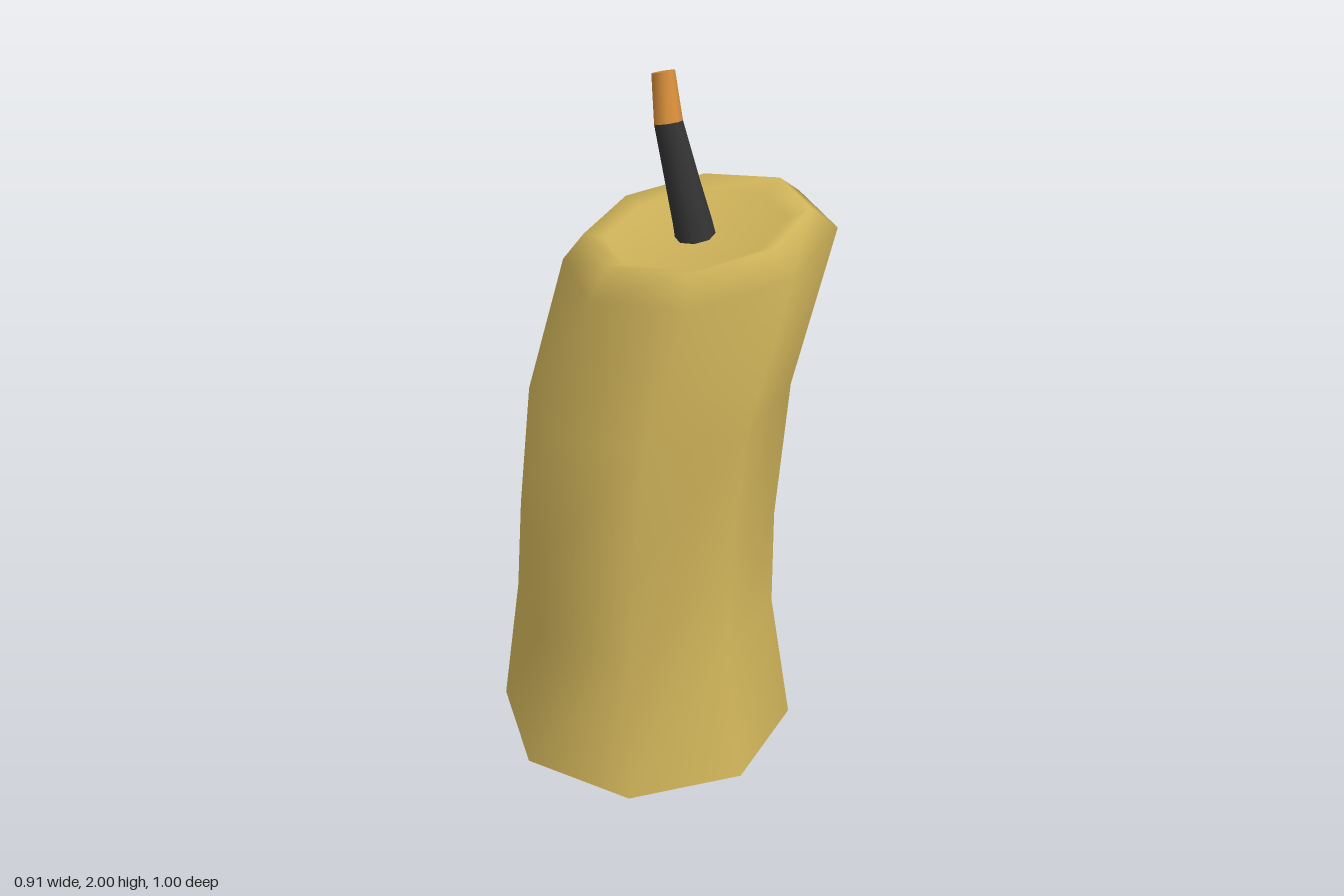
import * as THREE from 'three';

const SIDES = 8;

// Skin octagonal rings [x, y, z, radius, slopeX, slopeZ]; apex closes the top if given.
function loft(rings, apex) {
  const pos = [], idx = [];
  for (const [x, y, z, r, sx = 0, sz = 0] of rings) {
    for (let j = 0; j < SIDES; j++) {
      const a = (j / SIDES) * Math.PI * 2;
      const dx = r * Math.sin(a), dz = r * Math.cos(a);
      pos.push(x + dx, y + sx * dx + sz * dz, z + dz);
    }
  }
  const at = (i, j) => i * SIDES + (j % SIDES);
  for (let i = 0; i < rings.length - 1; i++) {
    for (let j = 0; j < SIDES; j++) {
      idx.push(at(i, j), at(i, j + 1), at(i + 1, j + 1));
      idx.push(at(i, j), at(i + 1, j + 1), at(i + 1, j));
    }
  }
  if (apex) {
    const top = pos.length / 3, last = rings.length - 1;
    pos.push(...apex);
    for (let j = 0; j < SIDES; j++) idx.push(at(last, j), at(last, j + 1), top);
  }
  const g = new THREE.BufferGeometry();
  g.setAttribute('position', new THREE.Float32BufferAttribute(pos, 3));
  g.setIndex(idx);
  g.computeVertexNormals();
  return g;
}

export function createModel() {
  const group = new THREE.Group();
  group.name = 'candle';
  const material = (name, color) => {
    const m = new THREE.MeshStandardMaterial({ color });
    m.name = name;
    return m;
  };
  const wax = material('wax', 0xd0b45a);
  const char = material('charredWick', 0x333333);
  const ember = material('wickTip', 0xd48c3a);
  const add = (name, geometry, mat) => {
    const mesh = new THREE.Mesh(geometry, mat);
    mesh.name = name;
    group.add(mesh);
    return mesh;
  };

  // Leaning wax body with a bevelled rim and a shallow dip
  add('waxBody', loft([
    [0, 0, 0.04, 0.455],
    [-0.005, 0.42, 0.042, 0.392],
    [0, 0.72, 0.035, 0.38, 0, -0.026],
    [0.01, 1.12, -0.003, 0.377, 0.02, -0.08],
    [0.04, 1.535, -0.12, 0.38, 0.04, -0.188],
    [0.04, 1.603, -0.11, 0.312, 0.04, -0.185],
    [0.04, 1.583, -0.11, 0.255, 0.04, -0.17],
  ], [0.04, 1.555, -0.11]), wax);

  // Flat underside
  const base = add('waxBase', new THREE.CircleGeometry(0.455, SIDES), wax);
  base.rotation.x = Math.PI / 2;
  base.position.z = 0.04;

  // Bent wick, tapering towards its tip
  const joint = [-0.043, 1.865, -0.08, 0.039, 0.25, 0];
  const end = [-0.082, 1.993, -0.093, 0.032, 0.25, 0];
  add('wick', loft([
    [0.042, 1.53, -0.115, 0.058, 0.2, 0],
    [0.03, 1.6, -0.106, 0.054, 0.2, 0],
    [0.006, 1.71, -0.09, 0.047, 0.25, 0],
    joint,
  ]), char);
  add('wickTip', loft([joint, end]), ember);
  add('wickTipCap', loft([end], end.slice(0, 3)), ember);

  return group;
}
